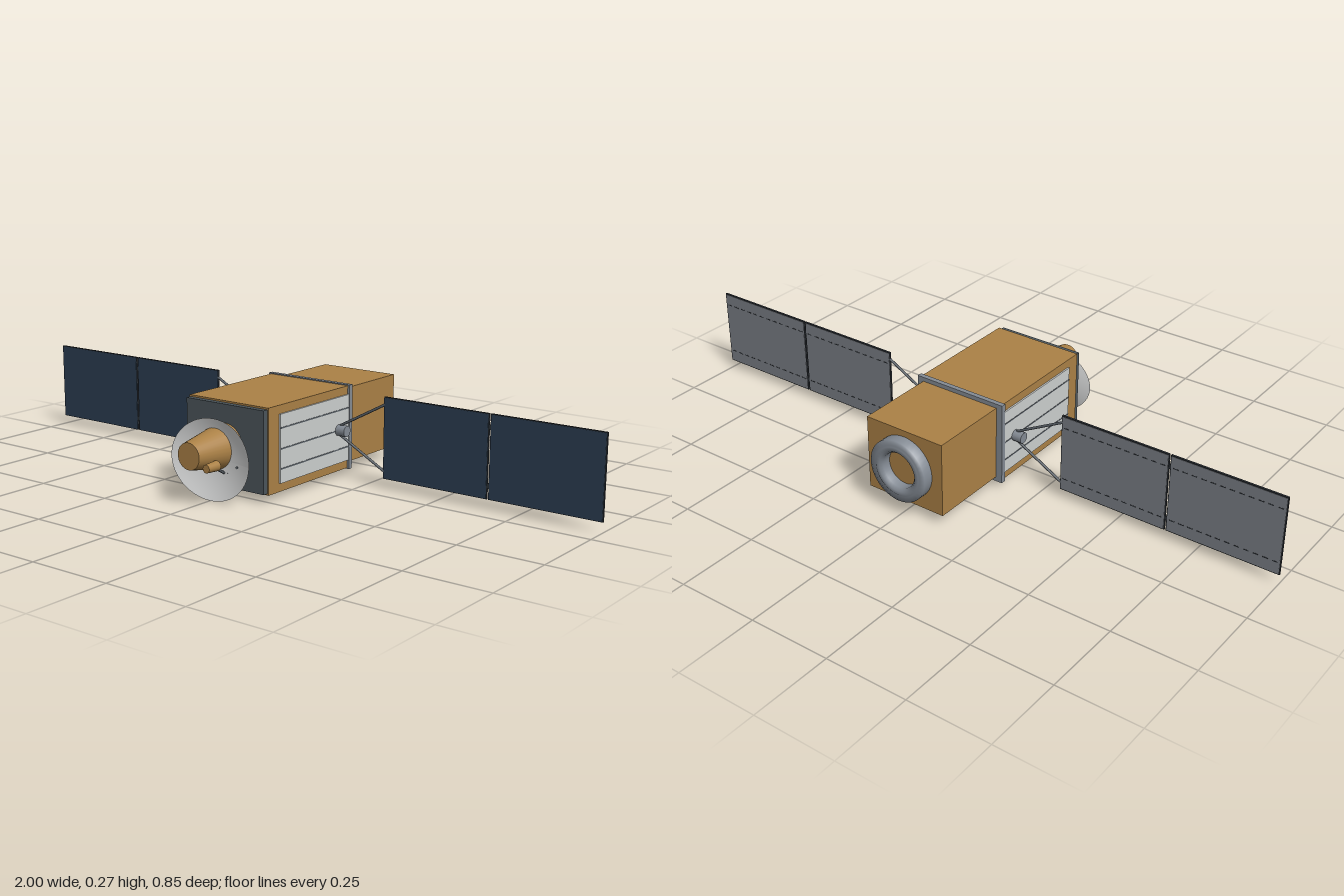
import * as THREE from 'three';

const mat = (name, color, side = THREE.FrontSide) => {
  const m = new THREE.MeshStandardMaterial({ color, side });
  m.name = name;
  return m;
};

export function createModel() {
  const gold = mat('gold foil', 0xab8146);
  const slate = mat('slate', 0x4c565c);
  const dark = mat('dark frame', 0x2b3035);
  const grey = mat('grey metal', 0x848b94);
  const strutGrey = mat('strut grey', 0x5c636a);
  const white = mat('radiator white', 0xcdd0cf);
  const navy = mat('solar cell navy', 0x2c3e52);
  const panelBack = mat('panel back grey', 0x7b7f86);
  const dishWhite = mat('dish white', 0xd8d9d9, THREE.DoubleSide);

  const model = new THREE.Group();
  model.name = 'spaceProbe';
  const CY = 0.15;

  const add = (name, geometry, material, x = 0, y = 0, z = 0, parent = model) => {
    const mesh = new THREE.Mesh(geometry, material);
    mesh.name = name;
    mesh.position.set(x, y, z);
    parent.add(mesh);
    return mesh;
  };
  const box = (name, w, h, d, m, x, y, z, parent) =>
    add(name, new THREE.BoxGeometry(w, h, d), m, x, y, z, parent);
  // Round rod between two points
  const rod = (name, a, b, r, m, parent = model) => {
    const p = new THREE.Vector3(...a), q = new THREE.Vector3(...b);
    const mesh = add(name, new THREE.CylinderGeometry(r, r, p.distanceTo(q), 8), m, 0, 0, 0, parent);
    mesh.position.copy(p).add(q).multiplyScalar(0.5);
    mesh.quaternion.setFromUnitVectors(new THREE.Vector3(0, 1, 0), q.sub(p).normalize());
    return mesh;
  };

  // Main hull, rear module, front plate and joining band
  box('mainHull', 0.288, 0.25, 0.385, gold, 0, CY, 0.06);
  box('rearModule', 0.262, 0.228, 0.257, gold, 0, CY + 0.001, -0.2585);
  box('frontPlate', 0.28, 0.24, 0.018, slate, 0, CY, 0.261);
  box('hullBand', 0.302, 0.256, 0.015, grey, 0, CY, -0.13);

  // Stepped docking ring at the back, open in the middle
  const ringProfile = [
    [0.055, -0.002], [0.055, 0.025], [0.063, 0.034], [0.075, 0.034],
    [0.079, 0.031], [0.096, 0.031], [0.096, -0.002],
  ];
  const ringGeometry = new THREE.LatheGeometry(
    ringProfile.map(([r, h]) => new THREE.Vector2(r, h)).reverse(), 40);
  // Point order runs inward, so reverse the faces to look outward
  const ringMaterial = mat('ring metal', 0x848b94, THREE.DoubleSide);
  const ring = add('dockingRing', ringGeometry, ringMaterial, 0, CY, -0.388);
  ring.rotation.x = -Math.PI / 2;

  // Front engine cone
  const cone = add('frontCone', new THREE.CylinderGeometry(0.039, 0.067, 0.154, 32), gold, 0, CY, 0.346);
  cone.rotation.x = Math.PI / 2;

  // Oval, shallow paraboloid dish around the cone
  const RX = 0.142, RY = 0.117, RINGS = 8, SIDES = 48;
  const pos = [], idx = [];
  for (let i = 0; i <= RINGS; i++) {
    for (let j = 0; j <= SIDES; j++) {
      const a = (j / SIDES) * Math.PI * 2, t = i / RINGS;
      const x = RX * t * Math.cos(a), y = RY * t * Math.sin(a);
      pos.push(x, y, 1.45 * (x * x + y * y));
      if (i < RINGS && j < SIDES) {
        const p = i * (SIDES + 1) + j, q = p + SIDES + 1;
        idx.push(p, q, q + 1, p, q + 1, p + 1);
      }
    }
  }
  const dishGeometry = new THREE.BufferGeometry();
  dishGeometry.setAttribute('position', new THREE.Float32BufferAttribute(pos, 3));
  dishGeometry.setIndex(idx);
  dishGeometry.computeVertexNormals();
  const dish = add('dish', dishGeometry, dishWhite, 0, 0.119, 0.307);
  dish.rotation.x = -0.077;

  // Dish supports and the little feed horn
  for (const s of [-1, 1]) {
    rod('dishStrut', [s * 0.07, 0.062, 0.265], [s * 0.045, 0.088, 0.313], 0.004, strutGrey);
    rod('dishStub', [s * 0.085, 0.11, 0.265], [s * 0.085, 0.11, 0.32], 0.004, strutGrey);
  }
  rod('hornStrut', [0.03, 0.082, 0.305], [0.058, 0.117, 0.378], 0.004, strutGrey);
  const horn = add('feedHorn', new THREE.CylinderGeometry(0.012, 0.015, 0.045, 20), gold, 0.058, 0.123, 0.395);
  horn.rotation.x = Math.PI / 2;

  for (const s of [-1, 1]) {
    // Side radiator with three grooves
    box('radiator', 0.006, 0.2, 0.33, white, s * 0.146, CY, 0.04);
    for (const y of [0.092, 0.15, 0.21])
      box('radiatorLine', 0.003, 0.004, 0.33, strutGrey, s * 0.1485, y, 0.04);

    // Solar wing
    const wing = new THREE.Group();
    wing.name = s > 0 ? 'leftWing' : 'rightWing';
    model.add(wing);
    const Z = -0.071;
    const hub = add('wingHub', new THREE.CylinderGeometry(0.017, 0.017, 0.036, 12), grey, s * 0.162, 0.152, Z, wing);
    hub.rotation.z = Math.PI / 2;
    for (const k of [-1, 1])
      rod('yokeArm', [s * 0.155, 0.152 + k * 0.014, Z], [s * 0.314, 0.152 + k * 0.1, Z], 0.004, strutGrey, wing);

    for (const cx of [0.481, 0.828]) {
      box('panelFrame', 0.342, 0.242, 0.006, dark, s * cx, 0.153, Z, wing);
      box('solarCells', 0.338, 0.238, 0.002, navy, s * cx, 0.153, Z + 0.003, wing);
      box('panelBacking', 0.337, 0.236, 0.002, panelBack, s * cx, 0.153, Z - 0.003, wing);
      // Broken lines along the back
      for (const y of [0.07, 0.236])
        for (let i = 0; i < 12; i++)
          box('backDash', 0.016, 0.003, 0.001, dark, s * (cx - 0.154 + i * 0.028), y, Z - 0.004, wing);
    }
    for (const y of [0.07, 0.236])
      box('panelHinge', 0.012, 0.014, 0.005, dark, s * 0.6545, y, Z, wing);
  }
  return model;
}
